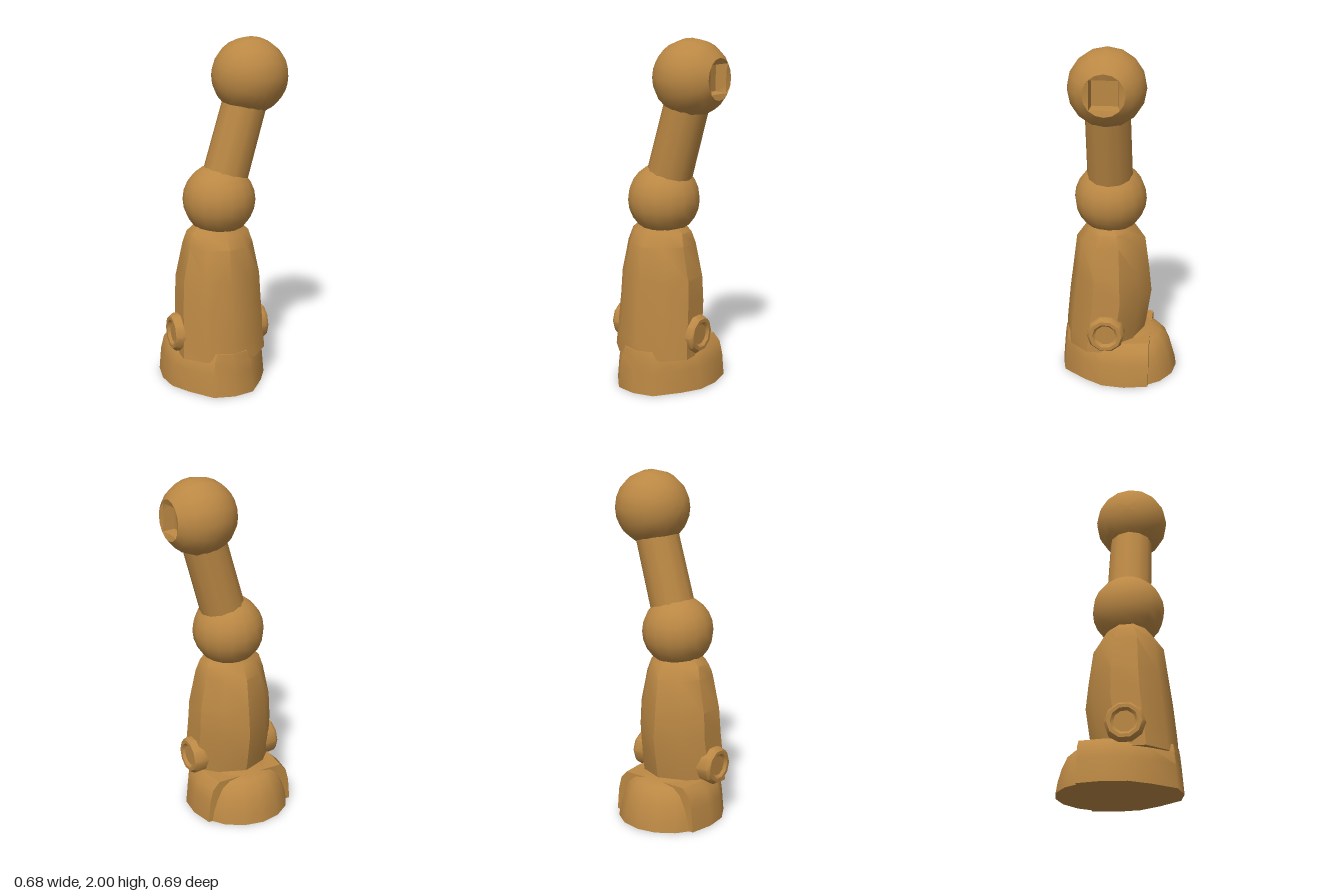
import * as THREE from 'three';
import { toCreasedNormals } from 'three/addons/utils/BufferGeometryUtils.js';

const material = new THREE.MeshStandardMaterial({ color: 0xbb8844 });

// Skin a list of equal-length rings of points and close both ends.
function loft(rings, crease = 0.7) {
  const n = rings[0].length, last = (rings.length - 1) * n;
  const pts = rings.flat(), index = [];
  const middle = ring => ring.reduce((s, p) => s.add(p), new THREE.Vector3()).divideScalar(n);
  const start = pts.length, end = start + 1;
  pts.push(middle(rings[0]), middle(rings.at(-1)));
  for (let i = 0; i < n; i++) {
    const j = (i + 1) % n;
    for (let r = 0; r < last; r += n) {
      index.push(r + i, r + j, r + n + i, r + j, r + n + j, r + n + i);
    }
    index.push(start, j, i, end, last + i, last + j);
  }
  const geometry = new THREE.BufferGeometry().setFromPoints(pts);
  geometry.setIndex(index);
  return toCreasedNormals(geometry, crease);
}

// Full outline from one half, listed from the front (+z) to the back.
function mirrored(half) {
  const inner = half.filter(([x]) => x !== 0).reverse().map(([x, z]) => [-x, z]);
  return [...half, ...inner];
}

export function createModel() {
  const model = new THREE.Group();
  const add = (name, geometry, x = 0, y = 0, z = 0) => {
    const mesh = new THREE.Mesh(geometry, material);
    mesh.name = name;
    mesh.position.set(x, y, z);
    model.add(mesh);
    return mesh;
  };

  // Hip ball, with a square socket sunk into its +x side
  const R = 0.215, sides = 16, opening = Math.asin(0.115 / R);
  const xRing = (x, radiusAt) => Array.from({ length: sides }, (_, i) => {
    const a = i / sides * Math.PI * 2, r = radiusAt(a);
    return new THREE.Vector3(x, r * Math.cos(a), r * Math.sin(a));
  });
  const square = h => a => h / Math.max(Math.abs(Math.cos(a)), Math.abs(Math.sin(a)));
  const hipRings = [];
  for (let k = 0; k <= 10; k++) {
    const t = 0.12 + (Math.PI - opening - 0.12) * k / 10;
    hipRings.push(xRing(-R * Math.cos(t), () => R * Math.sin(t)));
  }
  hipRings.push(xRing(0.172, square(0.08)), xRing(0.11, square(0.072)));
  add('hipBall', loft(hipRings), 0.148, 1.783, 0.05);

  // Leaning thigh
  const low = new THREE.Vector3(-0.015, 1.17, 0.05), high = new THREE.Vector3(0.125, 1.66, 0.05);
  const axis = high.clone().sub(low);
  const thigh = add('thigh', new THREE.CylinderGeometry(0.125, 0.13, axis.length(), 12));
  thigh.position.copy(low).add(high).multiplyScalar(0.5);
  thigh.quaternion.setFromUnitVectors(new THREE.Vector3(0, 1, 0), axis.normalize());

  // Knee ball
  add('kneeBall', new THREE.SphereGeometry(0.207, 16, 12), -0.036, 1.09, 0.05);

  // Shin: [y, half width, front z, back z]
  const shinOutline = mirrored([[0, 1], [0.6, 0.8], [1, 0.35], [1, -0.3], [0.6, -0.75], [0, -1]]);
  const shinRings = [
    [0.2, 0.25, 0.32, -0.14], [0.3, 0.245, 0.315, -0.16], [0.5, 0.237, 0.295, -0.19],
    [0.65, 0.23, 0.275, -0.175], [0.84, 0.19, 0.25, -0.15], [0.91, 0.17, 0.2, -0.1],
    [0.95, 0.13, 0.17, -0.065],
  ].map(([y, w, f, b]) => shinOutline.map(([x, z]) =>
    new THREE.Vector3(x * w, y, (f + b) / 2 + z * (f - b) / 2)));
  add('shin', loft(shinRings), -0.047);

  // Round ankle bolts with a shallow dished face
  const boltProfile = [[0, -0.08], [0.11, -0.08], [0.11, 0.025], [0.095, 0.045], [0.075, 0.045], [0.06, 0.03], [0, 0.03]]
    .map(p => new THREE.Vector2(...p));
  for (const side of [1, -1]) {
    const bolt = add(side > 0 ? 'leftAnkleBolt' : 'rightAnkleBolt',
      toCreasedNormals(new THREE.LatheGeometry(boltProfile, 10), 0.7),
      -0.05 + side * 0.24, 0.325, 0.06);
    bolt.rotation.z = -side * Math.PI / 2;
  }

  // Foot block: [y, width scale, front scale], flat at the back
  const footOutline = mirrored([[0, 0.345], [0.12, 0.32], [0.225, 0.19], [0.29, 0.08],
    [0.305, -0.05], [0.28, -0.19]]);
  const footRings = [[0, 1, 1], [0.13, 0.96, 0.97], [0.205, 0.89, 0.95], [0.25, 0.74, 0.93]]
    .map(([y, w, f]) => footOutline.map(([x, z]) =>
      new THREE.Vector3(x * w, y, z > 0 ? z * f : z)));
  add('footBlock', loft(footRings), -0.05);

  // Rounded back of the foot
  const domeRings = [[0, 0.297], [0.06, 0.288], [0.13, 0.268], [0.2, 0.238], [0.235, 0.2], [0.252, 0.15]]
    .map(([y, r]) => Array.from({ length: 16 }, (_, i) => {
      const a = i / 16 * Math.PI * 2;
      return new THREE.Vector3(r * Math.sin(a), y, r * Math.cos(a));
    }));
  add('footDome', loft(domeRings), -0.05, 0, -0.048);

  return model;
}
